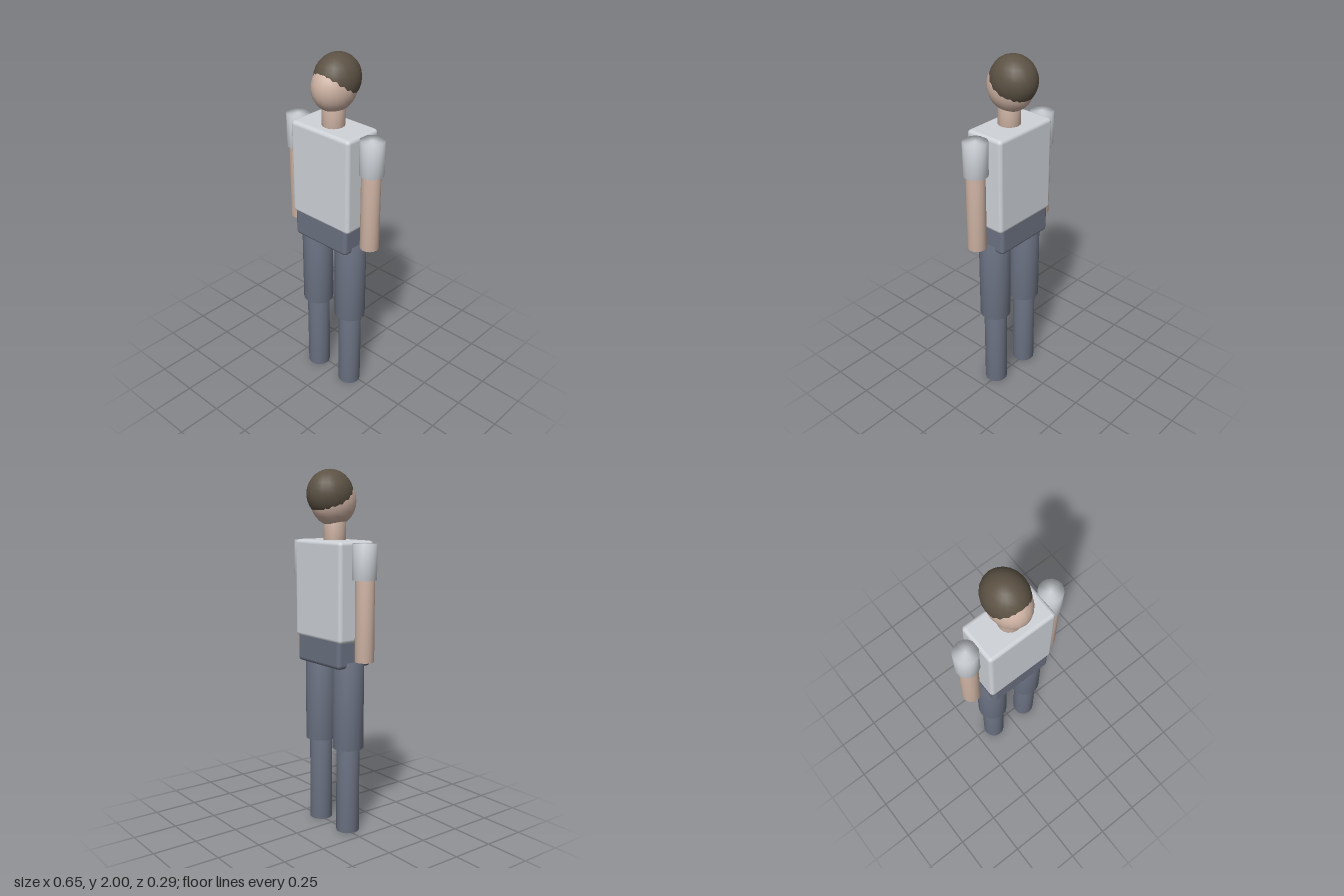
import * as THREE from 'three';
import { mergeVertices } from 'three/addons/utils/BufferGeometryUtils.js';
import { RoundedBoxGeometry } from 'three/addons/geometries/RoundedBoxGeometry.js';

const paint = (name, color) => Object.assign(new THREE.MeshStandardMaterial({ color }), { name });

// Closed cylinder whose shading runs softly over the cap edges
function softCylinder(radius, bottom, top) {
  const g = new THREE.CylinderGeometry(radius, radius, top - bottom, 16);
  g.deleteAttribute('uv');
  g.deleteAttribute('normal');
  const soft = mergeVertices(g);
  soft.computeVertexNormals();
  return soft.translate(0, (top + bottom) / 2, 0);
}

const ellipsoid = (rx, ry, rz) => new THREE.SphereGeometry(1, 20, 14).scale(rx, ry, rz);

export function createModel() {
  const model = new THREE.Group();
  model.name = 'standingFigure';

  const shirt = paint('shirtGrey', 0xcfd3d8);
  const trousers = paint('trouserBlueGrey', 0x6b7282);
  const skin = paint('skin', 0xcdb2a3);
  const hair = paint('hairBrown', 0x5c5244);

  function add(name, geometry, material, x, y, z, parent = model) {
    const mesh = new THREE.Mesh(geometry, material);
    mesh.name = name;
    mesh.position.set(x, y, z);
    parent.add(mesh);
    return mesh;
  }

  // Head: the hair is a second ellipsoid shifted up and back
  add('head', ellipsoid(0.109, 0.131, 0.132), skin, 0, 1.831, 0.01);
  add('hair', ellipsoid(0.116, 0.13, 0.132), hair, 0, 1.87, -0.013);
  add('neck', softCylinder(0.061, 1.58, 1.76), skin, 0, 0, 0.018);

  // Body blocks with softened edges
  add('torso', new RoundedBoxGeometry(0.408, 0.54, 0.234, 2, 0.022), shirt, 0, 1.357, 0.013);
  add('pelvis', new RoundedBoxGeometry(0.376, 0.2, 0.228, 2, 0.022), trousers, 0, 1.047, 0.014);

  // Arms and legs, mirrored
  for (const [side, s] of [['left', 1], ['right', -1]]) {
    const arm = new THREE.Group();
    arm.name = side + 'Arm';
    add(side + 'Sleeve', softCylinder(0.066, 1.43, 1.618), shirt, s * 0.261, 0, 0.013, arm);
    add(side + 'BareArm', softCylinder(0.052, 0.995, 1.46), skin, s * 0.261, 0, 0.017, arm);

    const leg = new THREE.Group();
    leg.name = side + 'Leg';
    add(side + 'Thigh', softCylinder(0.087, 0.487, 0.98), trousers, s * 0.125, 0, 0.016, leg);
    add(side + 'Shin', softCylinder(0.065, 0, 0.53), trousers, s * 0.125, 0, 0.016, leg);
    model.add(arm, leg);
  }
  return model;
}
